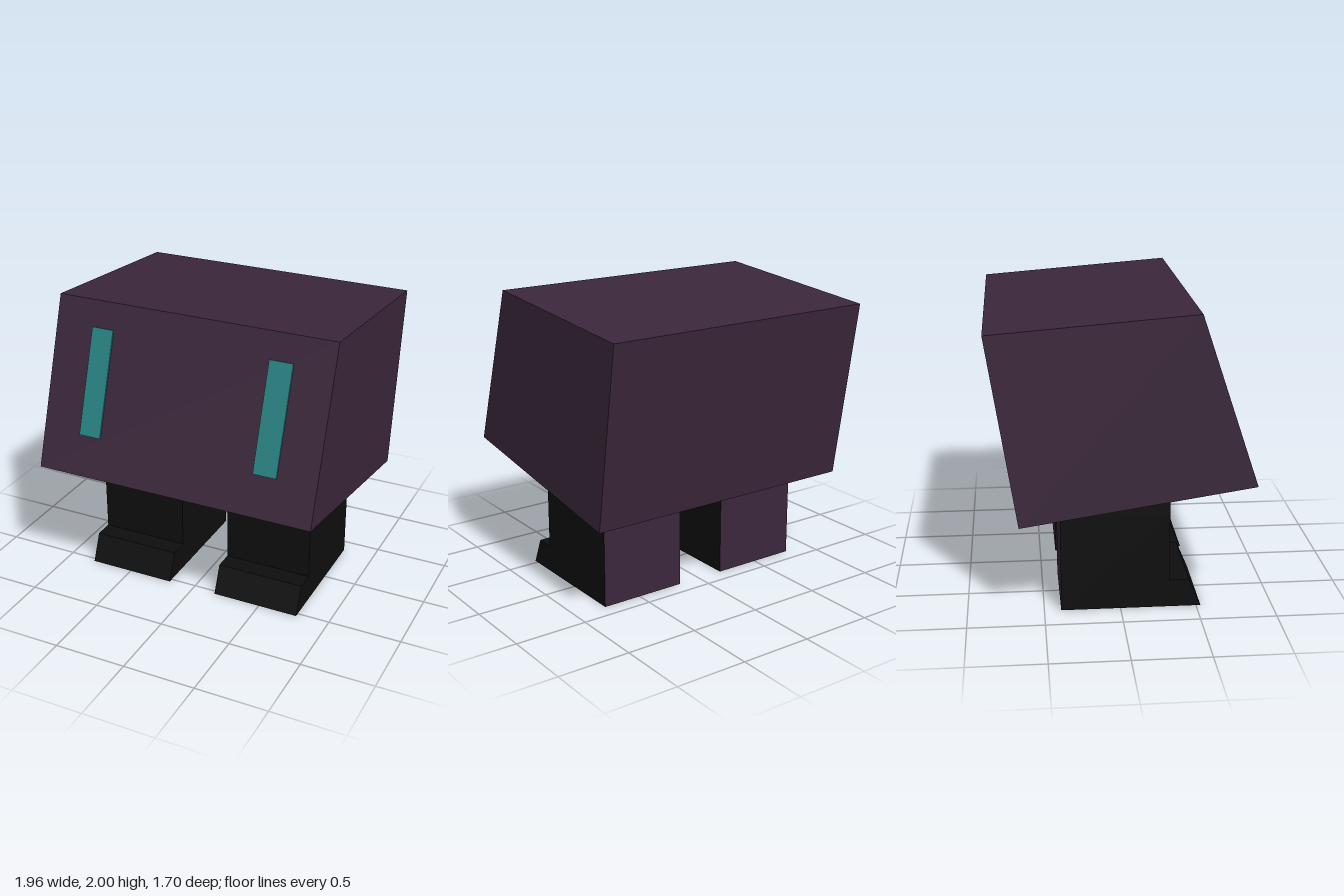
import * as THREE from 'three';

const purple = new THREE.MeshStandardMaterial({ name: 'dark purple', color: 0x3b273b });
const teal = new THREE.MeshStandardMaterial({ name: 'teal', color: 0x288282 });
const black = new THREE.MeshStandardMaterial({ name: 'black', color: 0x0e0e0e });
for (const m of [purple, teal, black]) m.flatShading = false;

// Extrudes a side profile of [z, y] points across x from x0 to x1
function sideExtrude(name, points, x0, x1, material) {
  const shape = new THREE.Shape(points.map(([z, y]) => new THREE.Vector2(-z, y)));
  const geo = new THREE.ExtrudeGeometry(shape, { depth: x1 - x0, bevelEnabled: false });
  geo.rotateY(Math.PI / 2).translate(x0, 0, 0);
  const mesh = new THREE.Mesh(geo, material);
  mesh.name = name;
  return mesh;
}

function box(name, x0, x1, y0, y1, z0, z1, material) {
  const geo = new THREE.BoxGeometry(x1 - x0, y1 - y0, z1 - z0);
  geo.translate((x0 + x1) / 2, (y0 + y1) / 2, (z0 + z1) / 2);
  const mesh = new THREE.Mesh(geo, material);
  mesh.name = name;
  return mesh;
}

// Leg with purple back and sole, a black upper end and a sloped toe
function makeLeg(name, x0, x1) {
  const leg = new THREE.Group();
  leg.name = name;
  leg.add(
    box('legBlock', x0, x1, 0, 0.65, -0.39, 0.32, [black, black, black, purple, black, purple]),
    sideExtrude('legTop', [[0.32, 0.65], [0.32, 0.83], [-0.39, 0.72], [-0.39, 0.65]], x0, x1, black),
    sideExtrude('toe', [[0.53, 0], [0.45, 0.19], [0.32, 0.19], [0.32, 0]], x0, x1, black)
  );
  return leg;
}

export function createModel() {
  const model = new THREE.Group();
  model.name = 'blockCreature';

  // Tilted body
  const low = [0.85, 0.89], high = [0.475, 2];
  model.add(sideExtrude('body', [low, high, [-0.845, 1.895], [-0.655, 0.66]], -0.978, 0.978, purple));

  // Eyes: thin strips lying on the sloped face
  const slope = (high[0] - low[0]) / (high[1] - low[1]);
  const onFace = (y, out) => [low[0] + (y - low[1]) * slope + out * 0.947, y + out * 0.32];
  const strip = [onFace(1.15, 0), onFace(1.832, 0), onFace(1.832, 0.0095), onFace(1.15, 0.0095)].reverse();
  model.add(sideExtrude('rightEye', strip, -0.705, -0.55, teal));
  model.add(sideExtrude('leftEye', strip, 0.55, 0.71, teal));

  // Legs
  model.add(makeLeg('rightLeg', -0.8, -0.185), makeLeg('leftLeg', 0.165, 0.775));
  return model;
}
